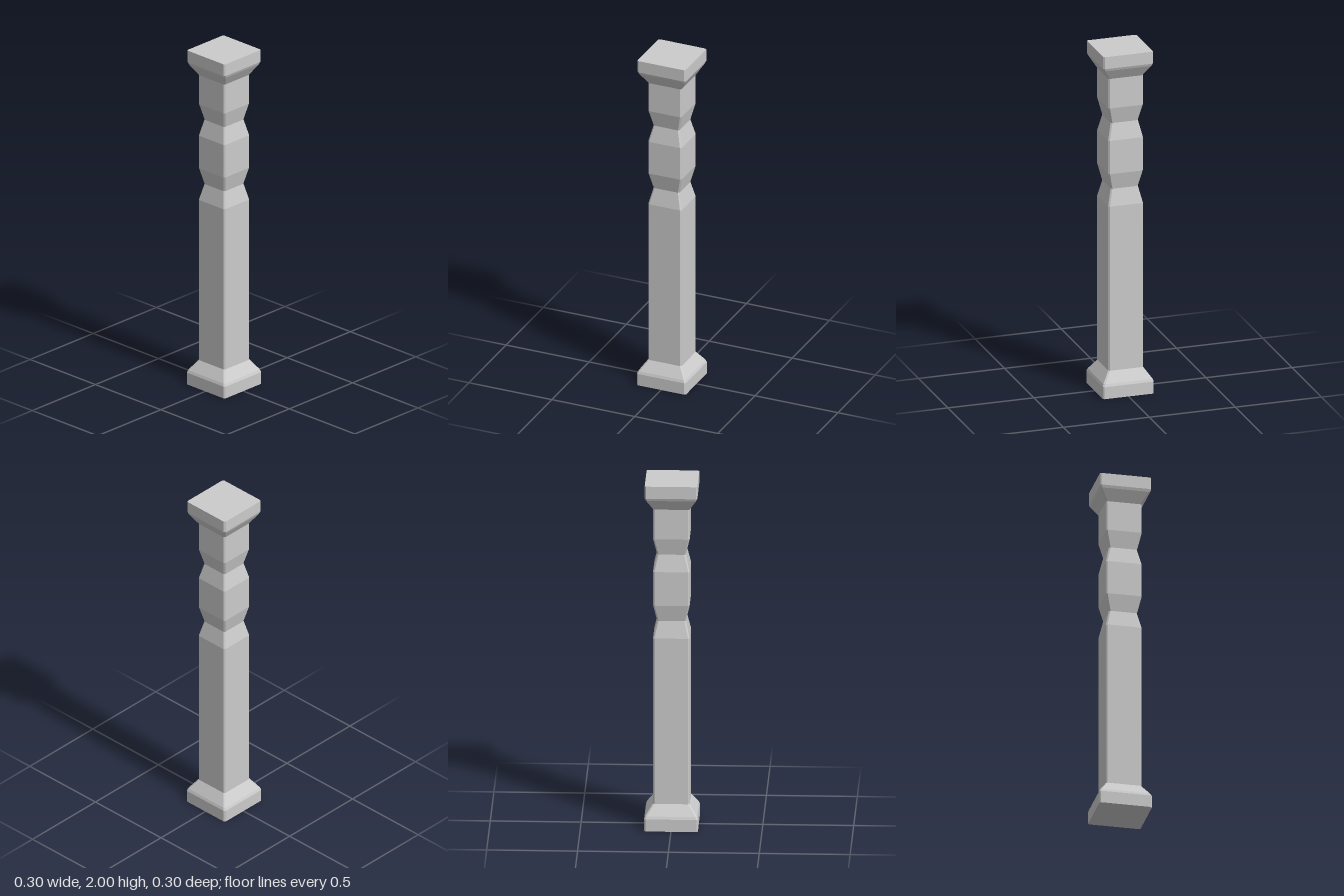
import * as THREE from 'three';

// Chamfered square outline, counter-clockwise seen from above
function ring(half, y, c) {
  const a = half, b = half - c;
  return [[a, b], [a, -b], [b, -a], [-b, -a], [-a, -b], [-a, b], [-b, a], [b, a]]
    .map(([x, z]) => new THREE.Vector3(x, y, z));
}

// Skins a [height, half width] profile, with optional end caps
function loft(profile, chamfer, capBottom, capTop) {
  const rings = profile.map(([y, h]) => ring(h, y, chamfer));
  const pos = [];
  const tri = (...pts) => pts.forEach((p) => pos.push(p.x, p.y, p.z));
  for (let i = 0; i < rings.length - 1; i++) {
    const lo = rings[i], hi = rings[i + 1];
    for (let j = 0; j < 8; j++) {
      const k = (j + 1) % 8;
      tri(lo[j], lo[k], hi[k]);
      tri(lo[j], hi[k], hi[j]);
    }
  }
  const bottom = rings[0], top = rings[rings.length - 1];
  for (let j = 1; j < 7; j++) {
    if (capBottom) tri(bottom[0], bottom[j + 1], bottom[j]);
    if (capTop) tri(top[0], top[j], top[j + 1]);
  }
  const geometry = new THREE.BufferGeometry();
  geometry.setAttribute('position', new THREE.Float32BufferAttribute(pos, 3));
  geometry.computeVertexNormals();
  return geometry;
}

export function createModel() {
  const group = new THREE.Group();
  group.name = 'column';
  const material = new THREE.MeshStandardMaterial({ color: 0xcccccc, flatShading: true });
  const add = (name, profile, capBottom = false, capTop = false) => {
    const mesh = new THREE.Mesh(loft(profile, 0.008, capBottom, capTop), material);
    mesh.name = name;
    group.add(mesh);
  };

  // Plinth with a sloped shoulder
  add('base', [[0, 0.148], [0.07, 0.148], [0.085, 0.142], [0.145, 0.101]], true);

  // Square shaft pinched by two V-shaped necks
  const shaft = [[0.145, 0.101]];
  for (const y of [1.2, 1.585]) shaft.push([y - 0.095, 0.101], [y, 0.079], [y + 0.095, 0.101]);
  shaft.push([1.853, 0.101]);
  add('shaft', shaft);

  // Flared capital
  add('capital', [[1.853, 0.101], [1.915, 0.139], [1.93, 0.145], [2, 0.145]], false, true);
  return group;
}
